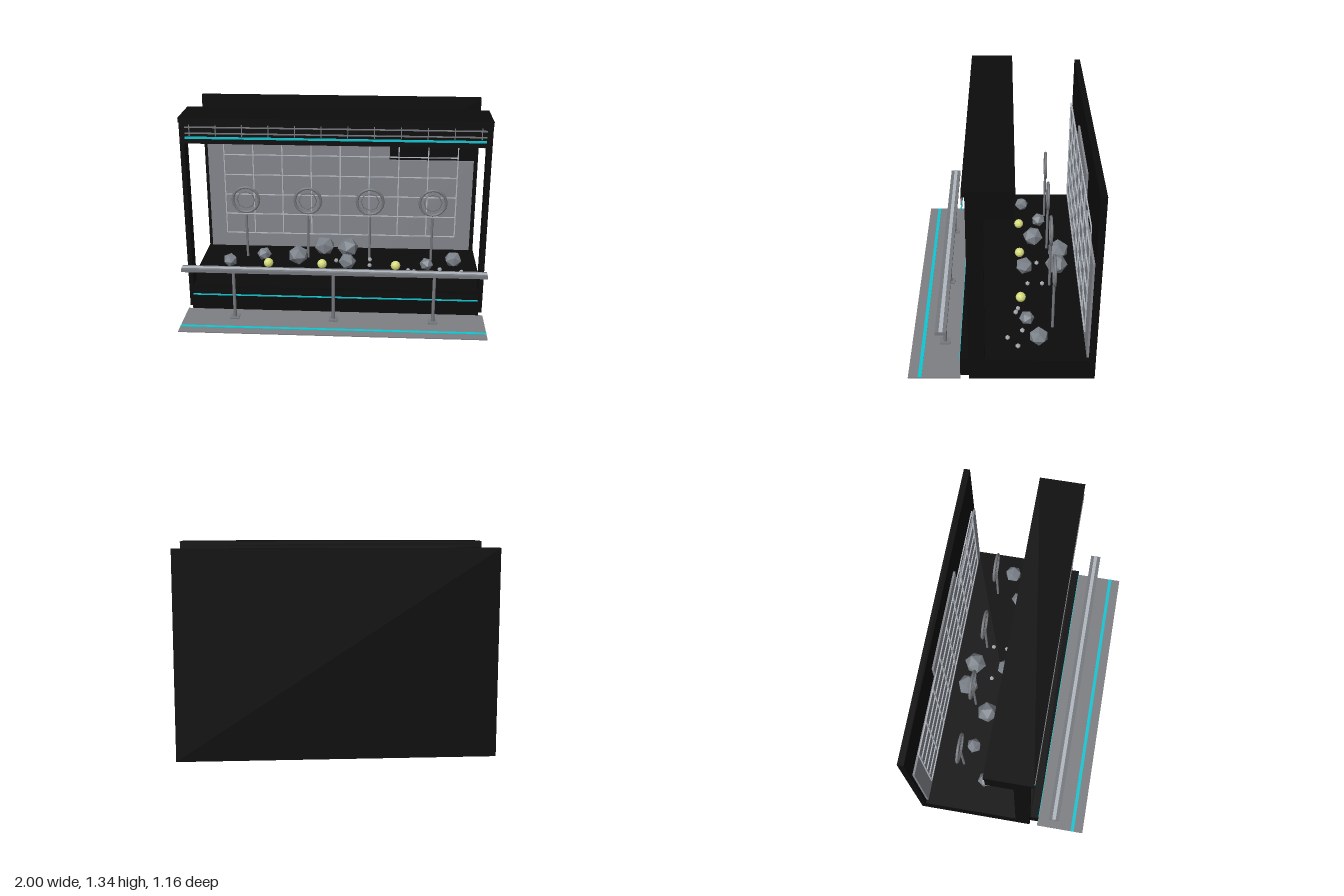
import * as THREE from 'three';

const mat = (name, color, flat = false) => {
  const m = new THREE.MeshStandardMaterial({ color, flatShading: flat });
  m.name = name;
  return m;
};

export function createModel() {
  const root = new THREE.Group();
  root.name = 'displayStage';
  const black = mat('black', 0x0c0c0c);
  const panelGrey = mat('panelGrey', 0x83858c);
  const matGrey = mat('floorGrey', 0x7e7f83);
  const metal = mat('metal', 0x74777c);
  const pale = mat('paleMetal', 0xb0b6be);
  const cyan = mat('cyan', 0x10c4d0);
  const rockGrey = mat('rockGrey', 0x7a8088, true);
  const pebbleGrey = mat('pebbleGrey', 0xa4a8ac, true);
  const yellow = mat('yellow', 0xd6da7c, true);

  const add = (name, geo, material, x = 0, y = 0, z = 0, parent = root) => {
    const m = new THREE.Mesh(geo, material);
    m.name = name;
    m.position.set(x, y, z);
    parent.add(m);
    return m;
  };
  // Box given by its min and max on every axis
  const box = (name, material, x0, x1, y0, y1, z0, z1, parent = root) =>
    add(name, new THREE.BoxGeometry(x1 - x0, y1 - y0, z1 - z0), material,
      (x0 + x1) / 2, (y0 + y1) / 2, (z0 + z1) / 2, parent);
  const group = (name) => {
    const g = new THREE.Group();
    g.name = name;
    root.add(g);
    return g;
  };

  // Stage shell
  box('base', black, -1, 1, 0, 0.145, -0.54, 0.2);
  box('baseFascia', black, -0.97, 0.97, 0, 0.132, 0.2, 0.255);
  box('sill', black, -0.97, 0.97, 0.145, 0.157, 0.1, 0.2);
  box('backWall', black, -1, 1, 0, 1.31, -0.58, -0.54);
  for (const s of [-1, 1])
    add('post', new THREE.BoxGeometry(0.03, 1.02, 0.1), black, s * 0.985, 0.655, 0.15);
  box('header', black, -1, 1, 1.165, 1.31, -0.07, 0.2);
  box('headerCap', black, -1, 1, 1.31, 1.34, -0.077, 0.22);

  // Stepped rear panels
  for (const [x0, x1, top] of [[-0.975, -0.325, 0.95], [-0.325, 0.36, 1.095], [0.36, 0.97, 0.845]])
    box('rearPanel', panelGrey, x0, x1, 0.145, top, -0.54, -0.526);

  // Wire grid in front of the panels
  const grid = group('wireGrid');
  for (let i = 0; i < 9; i++) {
    const x = -0.855 + i * 0.21375;
    box('gridUpright', pale, x - 0.004, x + 0.004, 0.255, 1.025, -0.521, -0.513, grid);
  }
  for (let i = 0; i < 6; i++) {
    const y = 0.255 + i * 0.154;
    box('gridBar', pale, -0.855, 0.855, y - 0.003, y + 0.003, -0.521, -0.513, grid);
  }

  // Lighting rail on the header
  const truss = group('headerTruss');
  for (const y of [1.28, 1.24])
    box('trussRail', metal, -0.96, 0.96, y - 0.004, y + 0.004, 0.216, 0.224, truss);
  for (let i = 0; i < 12; i++) {
    const x = -0.93 + i * 0.169;
    box('trussUpright', metal, x - 0.003, x + 0.003, 1.222, 1.297, 0.216, 0.224, truss);
  }

  // Cyan light strips
  box('headerLight', cyan, -0.96, 0.96, 1.203, 1.217, 0.216, 0.223);
  box('baseLight', cyan, -0.96, 0.96, 0.111, 0.121, 0.255, 0.259);
  box('walkwayLight', cyan, -1, 1, 0.007, 0.01, 0.495, 0.518);

  // Walkway and guard rail
  box('walkway', matGrey, -1, 1, 0, 0.007, 0.253, 0.58);
  box('handRail', metal, -1, 1, 0.345, 0.365, 0.33, 0.4);
  box('handRailInlay', pale, -1, 1, 0.365, 0.369, 0.352, 0.376);
  for (const x of [-0.66, 0, 0.66]) {
    add('railPost', new THREE.CylinderGeometry(0.011, 0.011, 0.335, 12), metal, x, 0.178, 0.365);
    box('railFoot', metal, x - 0.03, x + 0.03, 0.007, 0.015, 0.333, 0.399);
  }

  // Ring targets on poles
  for (let i = 0; i < 4; i++) {
    const x = -0.675 + i * 0.45;
    const sign = group('ringSign');
    add('pole', new THREE.CylinderGeometry(0.009, 0.009, 0.33, 8), metal, x, 0.31, -0.33, sign);
    add('outerRing', new THREE.TorusGeometry(0.095, 0.01, 6, 16), metal, x, 0.59, -0.33, sign);
    add('innerRing', new THREE.TorusGeometry(0.064, 0.004, 5, 8), metal, x, 0.59, -0.33, sign);
  }

  // Rocks, lamps and pebbles: [x, z, radius]
  const rocks = [[-0.11, -0.405, 0.08], [0.065, -0.385, 0.08], [-0.29, -0.23, 0.076],
    [0.07, -0.16, 0.064], [-0.545, -0.28, 0.054], [-0.775, -0.155, 0.054],
    [0.635, -0.165, 0.05], [0.83, -0.235, 0.064]];
  rocks.forEach(([x, z, r], i) => {
    const m = add('rock', new THREE.IcosahedronGeometry(r), rockGrey, x, 0.147 + 0.78 * r, z);
    m.scale.y = 0.92;
    m.rotation.y = i * 0.9;
  });
  for (const x of [-0.495, -0.11, 0.415])
    add('lampGlobe', new THREE.IcosahedronGeometry(0.035, 1), yellow, x, 0.185, -0.13);
  const pebbles = [[-0.015, -0.25], [0.23, -0.28], [0.23, -0.18], [0.505, -0.11],
    [0.545, -0.095], [0.73, -0.135], [0.88, -0.105], [0.8, -0.04]];
  for (const [x, z] of pebbles)
    add('pebble', new THREE.IcosahedronGeometry(0.017), pebbleGrey, x, 0.16, z);

  return root;
}
